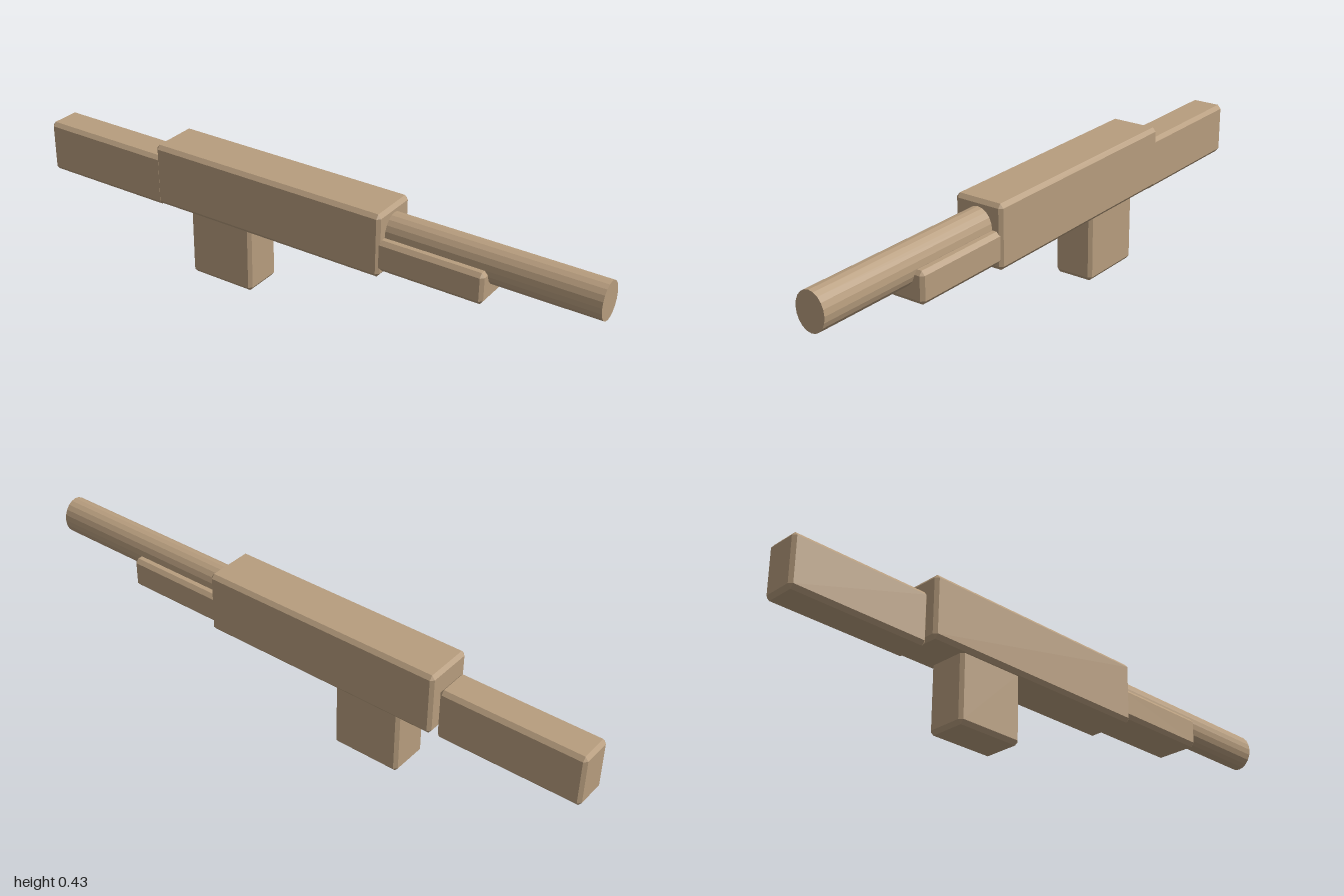
import * as THREE from 'three';
import { ConvexGeometry } from 'three/addons/geometries/ConvexGeometry.js';

const tan = new THREE.MeshStandardMaterial({ color: 0xb79d7e, flatShading: true });
tan.name = 'tan';

// Box between two corners with all edges chamfered
function chamferBox(name, [x0, x1], [y0, y1], halfZ) {
  const cx = 0.01, cy = 0.013, cz = 0.011;
  const hx = (x1 - x0) / 2, hy = (y1 - y0) / 2;
  const points = [];
  for (const sx of [-1, 1]) for (const sy of [-1, 1]) for (const sz of [-1, 1]) {
    points.push(
      new THREE.Vector3(sx * hx, sy * (hy - cy), sz * (halfZ - cz)),
      new THREE.Vector3(sx * (hx - cx), sy * hy, sz * (halfZ - cz)),
      new THREE.Vector3(sx * (hx - cx), sy * (hy - cy), sz * halfZ)
    );
  }
  const mesh = new THREE.Mesh(new ConvexGeometry(points), tan);
  mesh.name = name;
  mesh.position.set((x0 + x1) / 2, (y0 + y1) / 2, 0);
  return mesh;
}

export function createModel() {
  const model = new THREE.Group();
  model.name = 'model';

  model.add(
    chamferBox('body', [-0.52, 0.316], [0.222, 0.43], 0.085),
    chamferBox('stock', [-1, -0.525], [0.2, 0.374], 0.058),
    chamferBox('grip', [-0.4, -0.165], [0, 0.24], 0.069),
    chamferBox('foregrip', [0.28, 0.655], [0.243, 0.345], 0.078)
  );

  // Barrel, slightly taller than it is wide
  const geometry = new THREE.CylinderGeometry(1, 1, 0.72, 20);
  geometry.rotateZ(-Math.PI / 2);
  geometry.scale(1, 0.062, 0.051);
  const barrel = new THREE.Mesh(geometry, tan);
  barrel.name = 'barrel';
  barrel.position.set(0.64, 0.346, 0);
  model.add(barrel);

  return model;
}
